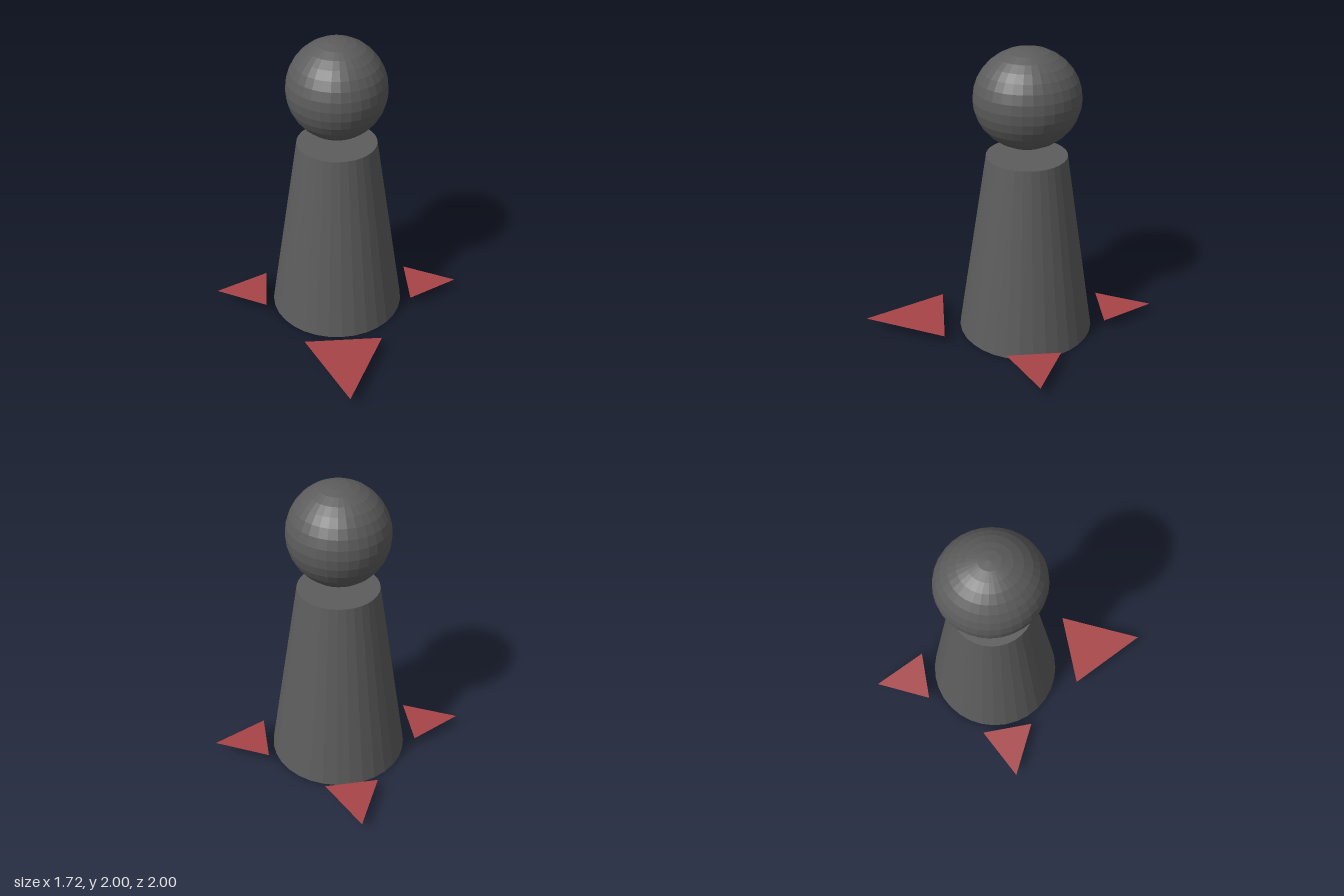
import * as THREE from 'three';

const CENTER_Z = -0.11;

export function createModel() {
  const group = new THREE.Group();
  const grey = new THREE.MeshStandardMaterial({ color: 0x5c5c5c, flatShading: true });
  const red = new THREE.MeshStandardMaterial({ color: 0xa84448, side: THREE.DoubleSide });

  const add = (name, geometry, material, x, y, z) => {
    const mesh = new THREE.Mesh(geometry, material);
    mesh.name = name;
    mesh.position.set(x, y, z);
    group.add(mesh);
    return mesh;
  };

  // Tapered body standing on the ground
  add('body', new THREE.CylinderGeometry(0.265, 0.46, 1.285, 32), grey, 0, 0.6425, CENTER_Z);

  // Floating head, slightly longer front to back
  const head = add('head', new THREE.SphereGeometry(0.325, 32, 16), grey, 0, 1.67, CENTER_Z);
  head.scale.z = 1.06;

  // Flat arrows around the base: distance to base edge, to tip, half width, turn
  const arrows = [
    ['frontArrow', 0.575, 1.11, 0.26, 0],
    ['leftArrow', 0.51, 0.86, 0.18, Math.PI / 2],
    ['backArrow', 0.53, 0.89, 0.176, Math.PI],
    ['rightArrow', 0.51, 0.86, 0.18, -Math.PI / 2],
  ];
  for (const [name, near, tip, half, turn] of arrows) {
    const shape = new THREE.Shape([
      new THREE.Vector2(-half, -near),
      new THREE.Vector2(0, -tip),
      new THREE.Vector2(half, -near),
    ]);
    const geometry = new THREE.ShapeGeometry(shape).rotateX(-Math.PI / 2);
    add(name, geometry, red, 0, 0.082, CENTER_Z).rotation.y = turn;
  }
  return group;
}
